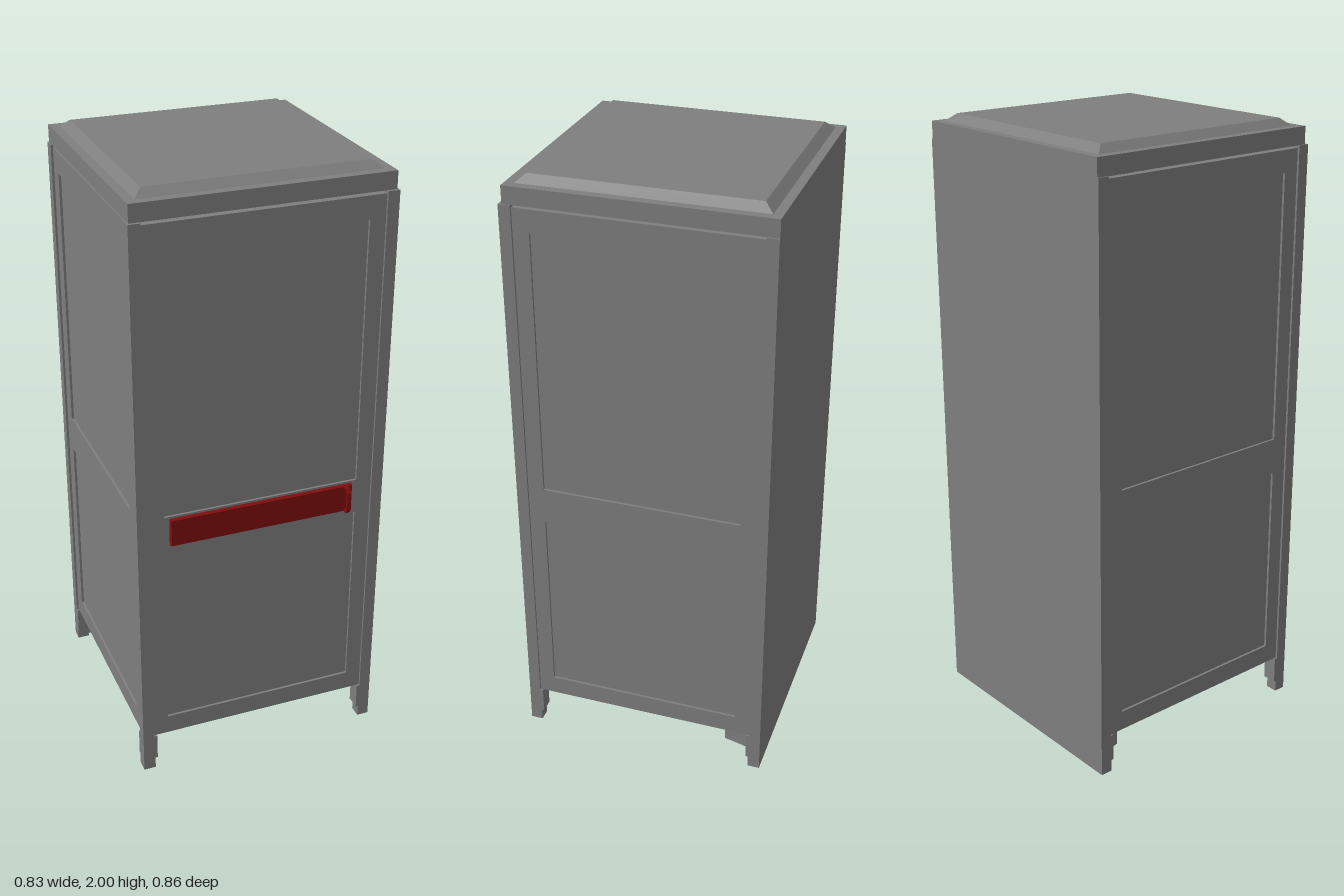
import * as THREE from 'three';

const grey = new THREE.MeshStandardMaterial({ color: 0x7e7e7e });
grey.name = 'grey plastic';
const red = new THREE.MeshStandardMaterial({ color: 0x800c0e });
red.name = 'red latch';

// Centre of the cabinet from front to back, half width and half depth at the posts
const CZ = -0.015, HX = 0.415, HZ = 0.415;

function box(name, [x0, x1], [y0, y1], [z0, z1], material = grey) {
  const mesh = new THREE.Mesh(new THREE.BoxGeometry(x1 - x0, y1 - y0, z1 - z0), material);
  mesh.position.set((x0 + x1) / 2, (y0 + y1) / 2, (z0 + z1) / 2);
  mesh.name = name;
  return mesh;
}

function rectangle(Type, x0, x1, y0, y1) {
  return new Type([[x0, y0], [x1, y0], [x1, y1], [x0, y1]].map(p => new THREE.Vector2(...p)));
}

// Box whose +z (or +y) end is drawn in by a bevel
function taperedBox(name, w, h, d, inset, axis, material = grey) {
  const geometry = new THREE.BoxGeometry(w, h, d).toNonIndexed();
  const p = geometry.attributes.position;
  for (let i = 0; i < p.count; i++) {
    const end = axis === 'y' ? p.getY(i) : p.getZ(i);
    if (end <= 0) continue;
    p.setX(i, p.getX(i) - Math.sign(p.getX(i)) * inset[0]);
    if (axis === 'y') p.setZ(i, p.getZ(i) - Math.sign(p.getZ(i)) * inset[1]);
    else p.setY(i, p.getY(i) - Math.sign(p.getY(i)) * inset[1]);
  }
  geometry.computeVertexNormals();
  const mesh = new THREE.Mesh(geometry, material);
  mesh.name = name;
  return mesh;
}

// Framed wall with two recessed panels; its outer face lies at z = 0
function panelWall(name) {
  const wall = new THREE.Group();
  wall.name = name;
  const outline = rectangle(THREE.Shape, -0.38, 0.38, 0.13, 1.912);
  for (const [y0, y1] of [[0.195, 0.845], [0.965, 1.84]]) {
    outline.holes.push(rectangle(THREE.Path, -0.325, 0.325, y0, y1));
    wall.add(box('recessedPanel', [-0.325, 0.325], [y0, y1], [-0.018, -0.008]));
  }
  const geometry = new THREE.ExtrudeGeometry(outline, { depth: 0.025, bevelEnabled: false });
  geometry.translate(0, 0, -0.025);
  const frame = new THREE.Mesh(geometry, grey);
  frame.name = 'wallFrame';
  wall.add(frame);
  return wall;
}

export function createModel() {
  const model = new THREE.Group();
  model.name = 'cabin';

  // Door and two side walls
  const door = panelWall('door');
  door.position.z = 0.393;
  model.add(door);
  for (const side of [-1, 1]) {
    const wall = panelWall(side > 0 ? 'leftWall' : 'rightWall');
    wall.rotation.y = side * Math.PI / 2;
    wall.position.set(side * 0.408, 0, CZ);
    model.add(wall);
  }

  // Plain back wall reaching the ground
  model.add(box('backWall', [-0.41, 0.41], [0, 1.92], [-0.43, -0.405]));

  // Corner posts with stepped feet
  for (const sx of [-1, 1]) {
    for (const sz of [-1, 1]) {
      const post = new THREE.Group();
      post.name = 'cornerPost';
      const block = (name, size, y0, y1) => {
        const x = sx * (HX - size / 2), z = CZ + sz * (HZ - size / 2);
        post.add(box(name, [x - size / 2, x + size / 2], [y0, y1], [z - size / 2, z + size / 2]));
      };
      block('postShaft', 0.038, 0.13, 1.92);
      block('leg', 0.048, 0.04, 0.13);
      block('foot', 0.04, 0, 0.04);
      model.add(post);
    }
  }

  // Roof slab with a bevelled cap
  model.add(box('roofSlab', [-0.41, 0.41], [1.92, 1.976], [-0.43, 0.39]));
  const cap = taperedBox('roofCap', 0.764, 0.025, 0.764, [0.028, 0.03], 'y');
  cap.position.set(0, 1.9875, -0.02);
  model.add(cap);

  // Low tank at the back, narrowing towards the front
  const tank = taperedBox('tank', 0.68, 0.2, 0.13, [0.03, 0], 'z');
  tank.position.set(0, 0.1, -0.345);
  model.add(tank);

  // Red latch plate across the door
  const latch = taperedBox('latchPlate', 0.62, 0.1, 0.018, [0.005, 0.005], 'z', red);
  latch.position.set(0, 0.91, 0.396);
  model.add(latch);

  // Loop handle at one end of the latch
  const profile = [[0.40, 0.865], [0.42, 0.865], [0.43, 0.878], [0.43, 0.942], [0.42, 0.955], [0.40, 0.955],
    [0.40, 0.946], [0.416, 0.946], [0.421, 0.938], [0.421, 0.882], [0.416, 0.874], [0.40, 0.874]];
  const loop = new THREE.ExtrudeGeometry(
    new THREE.Shape(profile.map(([z, y]) => new THREE.Vector2(-z, y))),
    { depth: 0.012, bevelEnabled: false });
  loop.rotateY(Math.PI / 2);
  loop.translate(0.279, 0, 0);
  const handle = new THREE.Mesh(loop, red);
  handle.name = 'handle';
  model.add(handle);

  return model;
}
